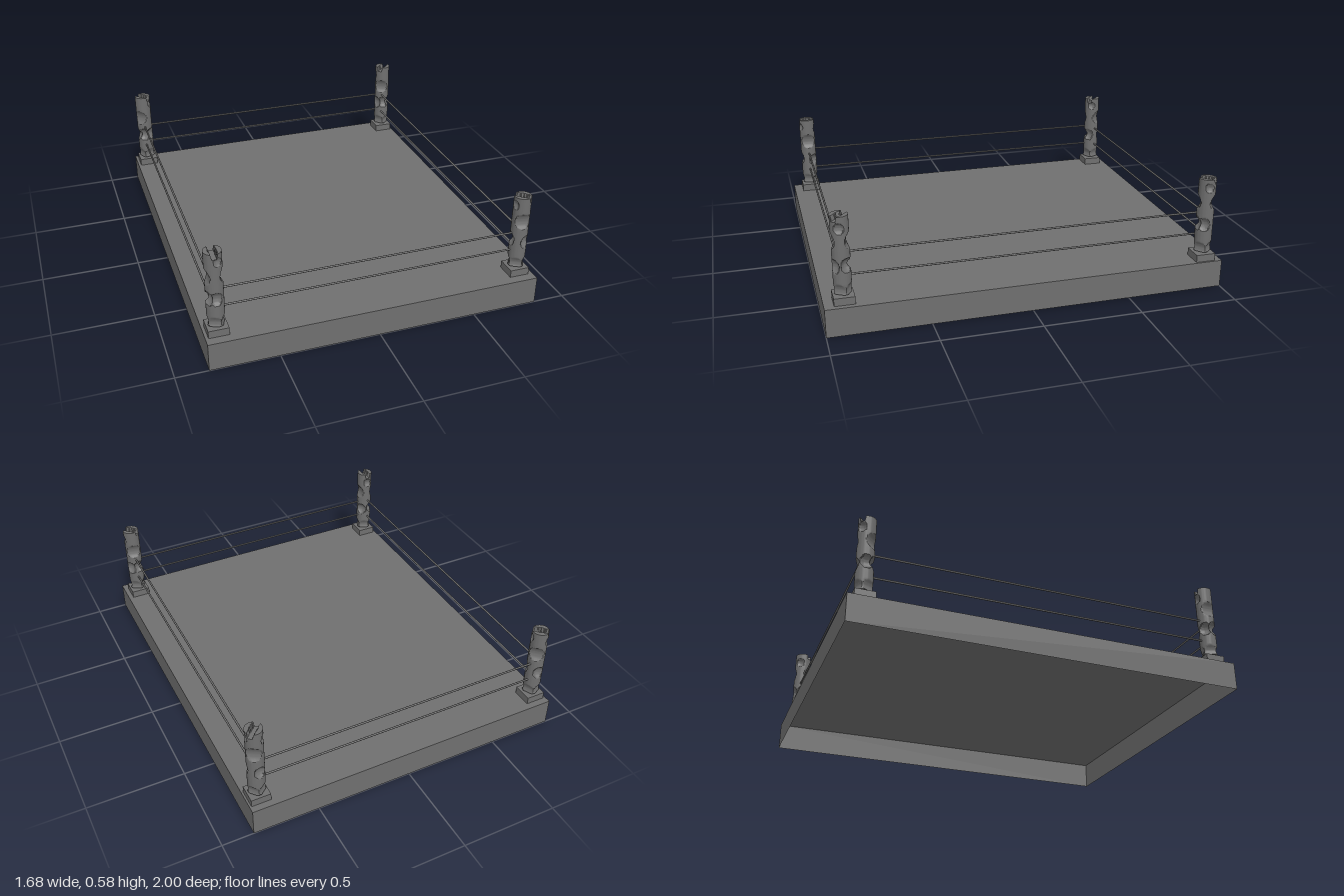
import * as THREE from 'three';
import { toCreasedNormals } from 'three/addons/utils/BufferGeometryUtils.js';

const grey = new THREE.MeshStandardMaterial({ color: 0x6f6f6f });
const greyOpen = new THREE.MeshStandardMaterial({ color: 0x6f6f6f, side: THREE.DoubleSide });

const DECK = 0.143;
const POST = { r: 0.043, bottom: 0.19, top: 0.577 };

// Saddles cut straight across a post: direction (degrees), height, radius, distance from axis
const SADDLES = [
  [0, 0.45, 0.055, 0.079], [180, 0.45, 0.055, 0.079],
  [20, 0.212, 0.04, 0.07], [110, 0.212, 0.04, 0.07], [200, 0.212, 0.04, 0.07], [290, 0.212, 0.04, 0.07],
];
// Round scoops, same columns
const SCOOPS = [
  [90, 0.34, 0.04, 0.063], [155, 0.34, 0.04, 0.06], [225, 0.335, 0.04, 0.06], [320, 0.33, 0.038, 0.06],
  [70, 0.535, 0.03, 0.06], [270, 0.52, 0.03, 0.057],
];

// Farthest radius a post surface may reach in direction a at height y
function carvedRadius(a, y) {
  let limit = POST.r;
  for (const [deg, sy, sr, dist] of SADDLES) {
    const c = Math.cos(a - THREE.MathUtils.degToRad(deg));
    const disc = sr * sr - (y - sy) ** 2;
    if (c > 0.01 && disc > 0) limit = Math.min(limit, (dist - Math.sqrt(disc)) / c);
  }
  for (const [deg, sy, sr, dist] of SCOOPS) {
    const d = a - THREE.MathUtils.degToRad(deg);
    const along = dist * Math.cos(d);
    const disc = sr * sr - (y - sy) ** 2 - (dist * Math.sin(d)) ** 2;
    if (along > 0 && disc > 0) limit = Math.min(limit, along - Math.sqrt(disc));
  }
  return Math.max(limit, 0.012);
}

// Round post with hollowed sides (turned by an angle) and a slot across its top
function postGeometry(turn, slotAngle) {
  const { r, bottom, top } = POST;
  const rows = 64;
  const profile = [new THREE.Vector2(0, bottom)];
  for (let i = 0; i <= rows; i++) profile.push(new THREE.Vector2(r, bottom + (top - bottom) * i / rows));
  for (let i = 7; i >= 0; i--) profile.push(new THREE.Vector2(r * i / 8, top));
  const geo = new THREE.LatheGeometry(profile, 48);
  const p = geo.attributes.position;
  for (let i = 0; i < p.count; i++) {
    const x = p.getX(i), y = p.getY(i), z = p.getZ(i);
    const a = Math.atan2(z, x);
    const rad = Math.min(Math.hypot(x, z), carvedRadius(a - turn, y));
    const across = Math.abs(rad * Math.sin(a - slotAngle));
    const ceiling = across < 0.016 ? top - 0.026 : top;
    p.setXYZ(i, rad * Math.cos(a), Math.min(y, ceiling), rad * Math.sin(a));
  }
  return toCreasedNormals(geo, 0.6);
}

// Thin rope between two points
function rope(name, from, to) {
  const a = new THREE.Vector3(...from), b = new THREE.Vector3(...to);
  const mesh = new THREE.Mesh(new THREE.CylinderGeometry(0.005, 0.005, a.distanceTo(b), 10), grey);
  mesh.name = name;
  mesh.position.addVectors(a, b).multiplyScalar(0.5);
  mesh.quaternion.setFromUnitVectors(new THREE.Vector3(0, 1, 0), b.sub(a).normalize());
  return mesh;
}

export function createModel() {
  const model = new THREE.Group();
  model.name = 'ropedRing';

  // Platform: a hollow box with no underside
  const box = new THREE.BoxGeometry(1.68, DECK, 2);
  box.setIndex([...box.index.array].filter((_, i) => i < 18 || i >= 24));
  box.clearGroups();
  const platform = new THREE.Mesh(box, greyOpen);
  platform.name = 'platform';
  platform.position.y = DECK / 2;
  model.add(platform);

  // Corner posts on square plinths: position, turn of the carving, direction of the slot
  const plinthGeo = new THREE.BoxGeometry(0.1, 0.038, 0.1);
  const corners = [
    ['frontRight', -0.775, 0.903, 0, Math.PI / 2],
    ['frontLeft', 0.765, 0.903, 1.75, Math.PI / 4],
    ['backLeft', 0.78, -0.915, -Math.PI / 3, -Math.PI / 4],
    ['backRight', -0.775, -0.915, -Math.PI / 4, Math.PI / 4],
  ];
  for (const [name, x, z, turn, slot] of corners) {
    const plinth = new THREE.Mesh(plinthGeo, grey);
    plinth.name = name + 'Plinth';
    plinth.position.set(x, DECK + 0.019, z);
    const post = new THREE.Mesh(postGeometry(turn, slot), grey);
    post.name = name + 'Post';
    post.position.set(x, 0, z);
    model.add(plinth, post);
  }

  // Two ropes along each side
  const left = 0.765, right = -0.78, front = 0.903, back = -0.925;
  for (const [level, yFront, yBack, ySide] of [['lower', 0.277, 0.277, 0.275], ['upper', 0.374, 0.381, 0.391]]) {
    model.add(
      rope(level + 'FrontRope', [right, yFront, front], [left, yFront, front]),
      rope(level + 'BackRope', [right, yBack, back], [left, yBack, back]),
      rope(level + 'LeftRope', [left, ySide, back], [left, ySide, front]),
      rope(level + 'RightRope', [right, ySide, back], [right, ySide, front]),
    );
  }
  return model;
}
